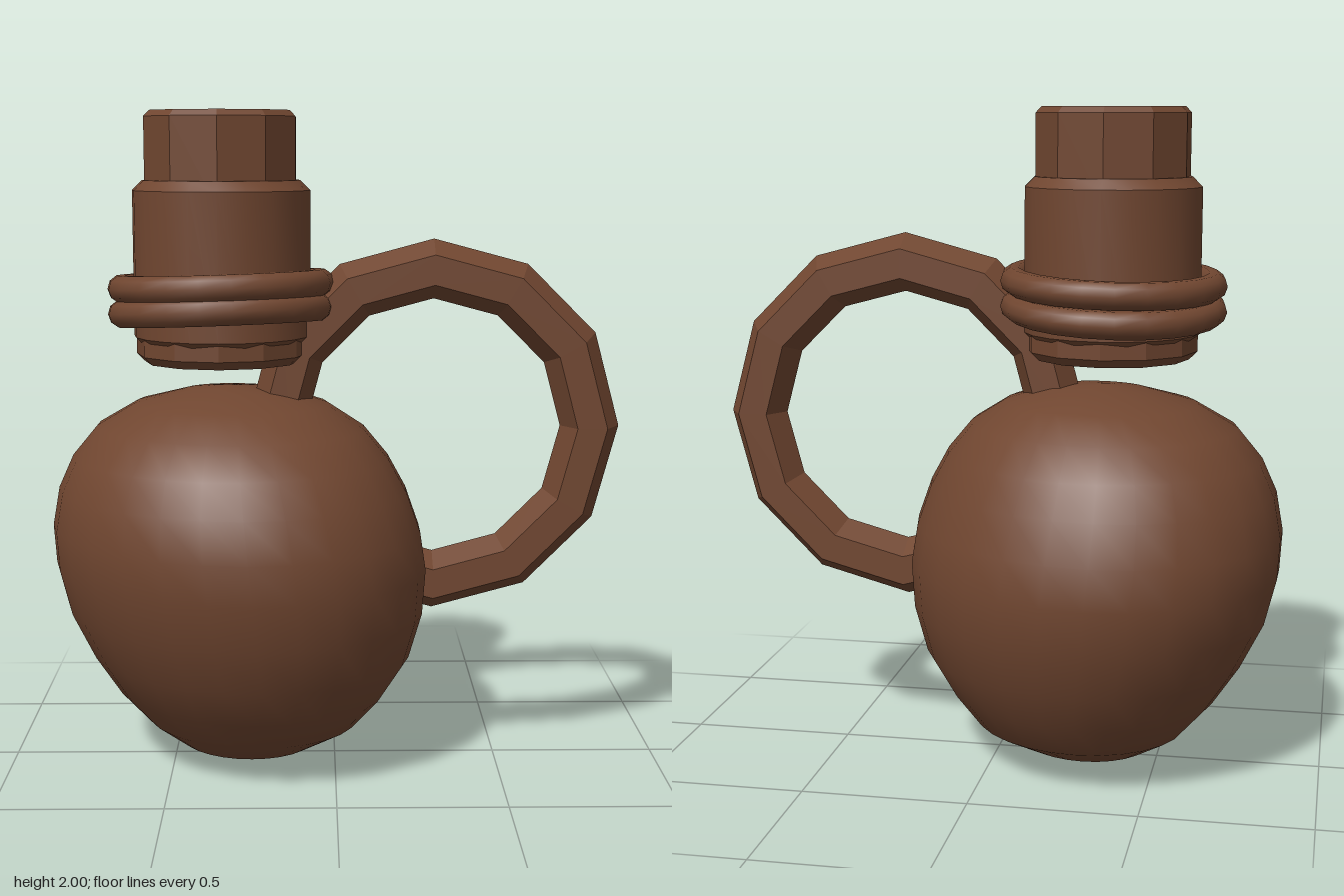
import * as THREE from 'three';
import { toCreasedNormals } from 'three/addons/utils/BufferGeometryUtils.js';

const NECK_X = -0.34, NECK_Z = 0.03;

// Lopsided bulb lofted from sheared elliptical rings: [y, xMin, xMax, zMin, zMax]
function bulbGeometry() {
  const rings = [
    [0.002, -0.31, -0.31, 0.02, 0.02],
    [0.045, -0.48, -0.07, -0.21, 0.2],
    [0.12, -0.59, 0.07, -0.36, 0.32],
    [0.22, -0.68, 0.155, -0.44, 0.42],
    [0.34, -0.76, 0.23, -0.51, 0.5],
    [0.48, -0.83, 0.27, -0.565, 0.56],
    [0.62, -0.865, 0.28, -0.588, 0.59],
    [0.74, -0.872, 0.262, -0.572, 0.592],
    [0.86, -0.85, 0.22, -0.53, 0.56],
    [0.96, -0.805, 0.165, -0.48, 0.505],
    [1.05, -0.73, 0.09, -0.4, 0.42],
    [1.12, -0.61, -0.02, -0.29, 0.29],
    [1.16, -0.46, -0.15, -0.14, 0.14],
    [1.175, -0.33, -0.33, 0, 0],
  ];
  const sides = 28, pos = [], index = [];
  rings.forEach(([y, x0, x1, z0, z1], i) => {
    for (let j = 0; j < sides; j++) {
      const a = (j / sides) * Math.PI * 2;
      pos.push(
        (x0 + x1) / 2 + ((x1 - x0) / 2) * Math.cos(a - 0.1), y,
        (z0 + z1) / 2 + ((z1 - z0) / 2) * Math.sin(a));
      if (i === rings.length - 1) continue;
      const p = i * sides + j, q = i * sides + (j + 1) % sides;
      if (i < rings.length - 2) index.push(p, p + sides, q + sides);
      if (i > 0) index.push(p, q + sides, q);
      if (i === rings.length - 2) index.push();
    }
  });
  const g = new THREE.BufferGeometry();
  g.setAttribute('position', new THREE.Float32BufferAttribute(pos, 3));
  g.setIndex(index);
  g.computeVertexNormals();
  return g;
}

// Closed turned piece with bevelled rims
function turned(radius, y0, y1, bevel, sides, crease) {
  const pts = [
    [0, y0], [radius - bevel, y0], [radius, y0 + bevel],
    [radius, y1 - bevel], [radius - bevel, y1], [0, y1],
  ].map(([r, y]) => new THREE.Vector2(r, y));
  return toCreasedNormals(new THREE.LatheGeometry(pts, sides), crease);
}

export function createModel() {
  const model = new THREE.Group();
  model.name = 'jug';
  const brown = new THREE.MeshStandardMaterial({ color: 0x704630 });
  brown.name = 'brown clay';

  const add = (name, geometry, x = 0, y = 0, z = 0) => {
    const mesh = new THREE.Mesh(geometry, brown);
    mesh.name = name;
    mesh.position.set(x, y, z);
    model.add(mesh);
    return mesh;
  };

  add('body', bulbGeometry());

  // Neck, collar and stopper
  add('neckBase', turned(0.26, 1.25, 1.4, 0.025, 12, 0.3), NECK_X, 0, NECK_Z);
  add('neckCollar', turned(0.267, 1.3, 1.795, 0.03, 20, 0.4), NECK_X, 0, NECK_Z);
  add('stopper', turned(0.235, 1.7, 2, 0.018, 10, 0.3), NECK_X, 0, NECK_Z);

  // Two slightly tilted cords around the neck
  [[1.405, -0.07, 0.035], [1.48, -0.04, 0.03]].forEach(([y, tiltX, tiltZ], i) => {
    const cord = new THREE.TorusGeometry(0.301, 0.042, 10, 22).rotateX(Math.PI / 2);
    add(i ? 'upperCord' : 'lowerCord', cord, NECK_X - 0.003, y, NECK_Z + 0.002)
      .rotation.set(tiltX, 0, tiltZ);
  });

  // Faceted hexagonal-section handle, both ends buried in the body
  const handle = new THREE.TorusGeometry(0.48, 0.09, 6, 10, Math.PI * 5 / 3)
    .rotateZ(-Math.PI * 2 / 3).toNonIndexed();
  handle.computeVertexNormals();
  add('handle', handle, 0.3, 1.05, NECK_Z);

  return model;
}
